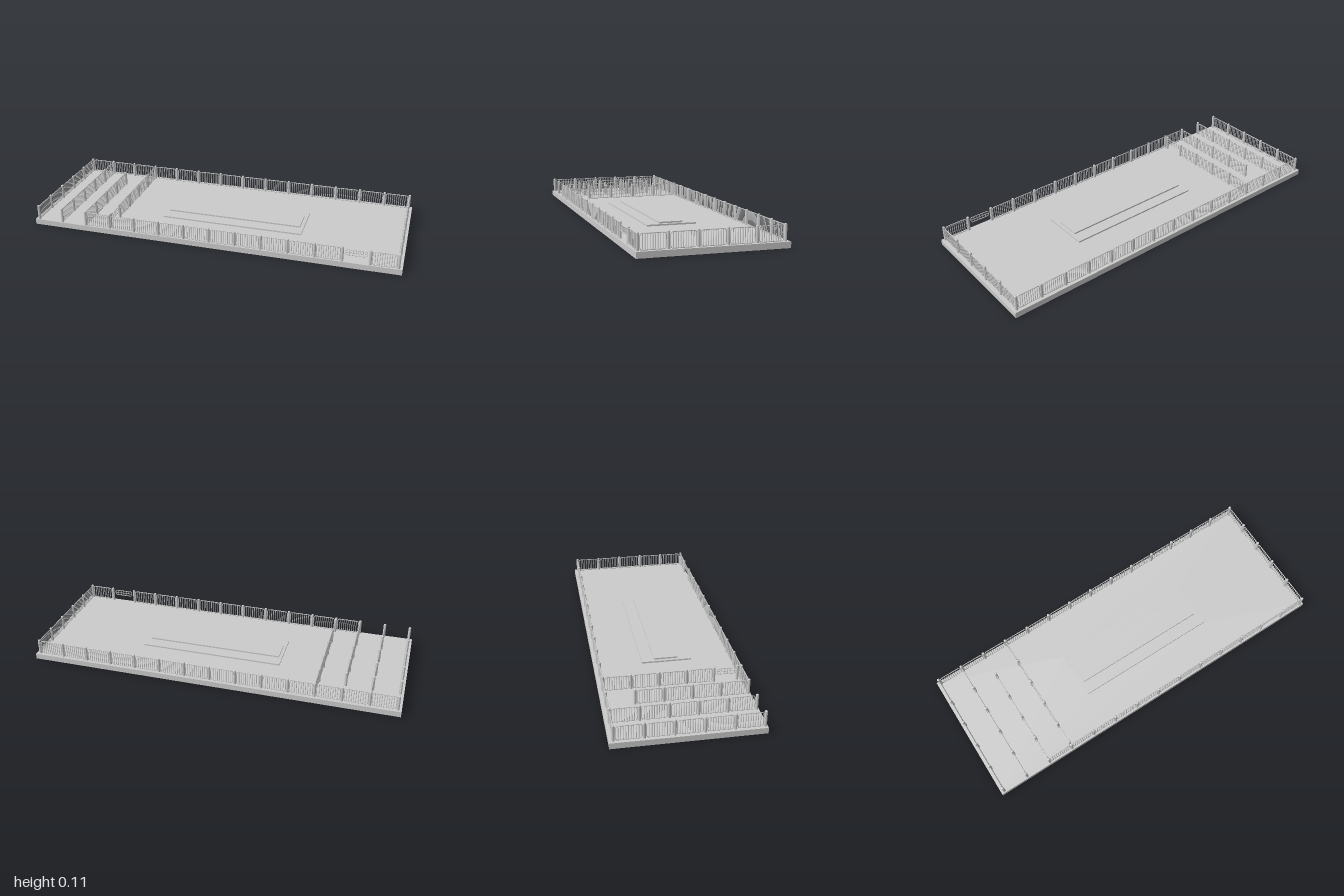
import * as THREE from 'three';
import { mergeGeometries } from 'three/addons/utils/BufferGeometryUtils.js';

const mat = new THREE.MeshStandardMaterial({ color: 0xcccccc, side: THREE.DoubleSide });
const DECK = 0.03, PITCH = 0.14, POST_R = 0.0075;
const X0 = -0.98, Z_FRONT = 0.354, Z_BACK = Z_FRONT - 5 * PITCH;

// Closed rounded-rectangle tube centred on (0, cy) in the xy plane
function tubeFrame(w, h, cy, corner, r) {
  const s = new THREE.Shape(), x = w / 2, y = h / 2, c = corner;
  s.absarc(x - c, y - c, c, 0, Math.PI / 2);
  s.absarc(-x + c, y - c, c, Math.PI / 2, Math.PI);
  s.absarc(-x + c, -y + c, c, Math.PI, Math.PI * 1.5);
  s.absarc(x - c, -y + c, c, Math.PI * 1.5, Math.PI * 2);
  s.closePath();
  const pts = s.getSpacedPoints(48).slice(0, -1).map(p => new THREE.Vector3(p.x, p.y + cy, 0));
  return new THREE.TubeGeometry(new THREE.CatmullRomCurve3(pts, true), 56, r, 6, true);
}

function rod(length, r, x, y, horizontal) {
  const g = new THREE.CylinderGeometry(r, r, length, 6, 1, true);
  if (horizontal) g.rotateZ(Math.PI / 2);
  return g.translate(x, y, 0);
}

// Barred fence panel that fits between two posts
function panelGeometry() {
  const parts = [tubeFrame(0.12, 0.073, 0.0385, 0.011, 0.0024)];
  for (let i = -4; i <= 4; i++) parts.push(rod(0.073, 0.0019, i * 0.0117, 0.0385));
  return mergeGeometries(parts);
}

// Short raised gate leaf
function gateGeometry() {
  const parts = [tubeFrame(0.106, 0.03, 0.053, 0.009, 0.002), rod(0.104, 0.0016, 0, 0.053, true)];
  for (let i = -2; i <= 2; i++) parts.push(rod(0.03, 0.0016, i * 0.017, 0.053));
  return mergeGeometries(parts);
}

// Post with softly chamfered top
function postGeometry() {
  const profile = [[POST_R, 0], [POST_R, 0.078], [POST_R * 0.75, 0.081], [0, 0.082]];
  return new THREE.LatheGeometry(profile.map(p => new THREE.Vector2(...p)), 12);
}

// Hollow step: four walls and a top, with an optional opening for the next step
function tier(name, r, y0, y1, hole) {
  const [xa, xb, za, zb] = r;
  const rect = (T, [a, b, c, d]) => new T([[a, -d], [b, -d], [b, -c], [a, -c]].map(p => new THREE.Vector2(...p)));
  const shape = rect(THREE.Shape, r);
  if (hole) shape.holes.push(rect(THREE.Path, hole));
  const top = new THREE.ShapeGeometry(shape).rotateX(-Math.PI / 2).translate(0, y1, 0);
  const h = y1 - y0, cx = (xa + xb) / 2, cz = (za + zb) / 2, cy = (y0 + y1) / 2;
  const wall = (w, turn, x, z) => new THREE.PlaneGeometry(w, h).rotateY(turn).translate(x, cy, z);
  const mesh = new THREE.Mesh(mergeGeometries([
    top,
    wall(xb - xa, 0, cx, zb), wall(xb - xa, Math.PI, cx, za),
    wall(zb - za, Math.PI / 2, xb, cz), wall(zb - za, -Math.PI / 2, xa, cz),
  ]), mat);
  mesh.name = name;
  return mesh;
}

export function createModel() {
  const model = new THREE.Group();
  model.name = 'fencedPlatform';

  // Deck with two stacked plinth steps, hollow underneath
  const lower = [-0.327, 0.453, -0.115, 0.148], upper = [-0.31, 0.433, -0.048, 0.078];
  model.add(
    tier('deck', [-1, 1, -0.366, 0.366], 0, DECK, lower),
    tier('lowerPlinth', lower, DECK, 0.038, upper),
    tier('upperPlinth', upper, 0.038, 0.046),
  );

  const geo = { post: postGeometry(), fencePanel: panelGeometry(), gate: gateGeometry() };
  const usedPosts = new Set();
  const put = (parent, name, x, z, turn = 0) => {
    const m = new THREE.Mesh(geo[name], mat);
    m.name = name;
    m.position.set(x, DECK, z);
    m.rotation.y = turn;
    parent.add(m);
  };

  // Straight run of posts and panels; corner posts are shared between runs
  function fence(name, x, z, alongX, count, gateAt = -1) {
    const run = new THREE.Group();
    run.name = name;
    const at = d => (alongX ? [x + d * PITCH, z] : [x, z + d * PITCH]);
    for (let i = 0; i <= count; i++) {
      const p = at(i), key = p.map(v => v.toFixed(2)).join();
      if (!usedPosts.has(key)) put(run, 'post', ...p);
      usedPosts.add(key);
      if (i < count) put(run, i === gateAt ? 'gate' : 'fencePanel', ...at(i + 0.5), alongX ? 0 : Math.PI / 2);
    }
    model.add(run);
  }

  // Perimeter, open at the front of the first two lanes
  fence('backFence', X0, Z_BACK, true, 14);
  fence('frontFence', X0 + 2 * PITCH, Z_FRONT, true, 12, 10);
  fence('rightFence', X0, Z_BACK, false, 5);
  fence('leftFence', -X0, Z_BACK, false, 5);

  // Queue lanes
  fence('outerLaneFence', X0 + PITCH, Z_BACK, false, 5);
  fence('middleLaneFence', X0 + 2 * PITCH, Z_BACK + PITCH, false, 4);
  fence('innerLaneFence', X0 + 3 * PITCH, Z_BACK, false, 5, 4);

  // Extra post that carries the lane gate
  put(model, 'post', X0 + 3 * PITCH, Z_FRONT - 0.02);
  return model;
}
